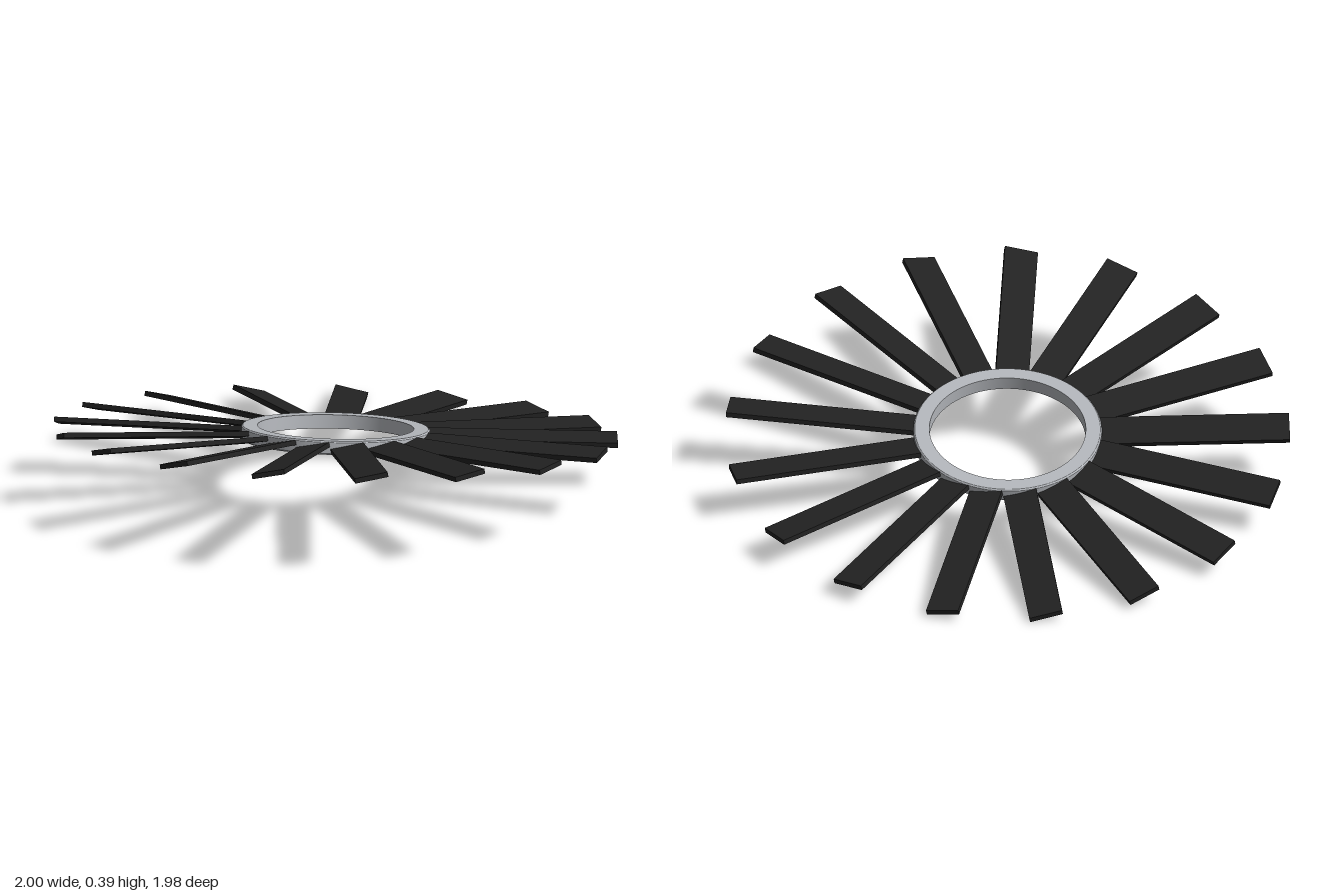
import * as THREE from 'three';

const BLADES = 17;
const TILT = THREE.MathUtils.degToRad(10);
const PITCH = THREE.MathUtils.degToRad(12);
const ROOT = 0.305, TIP = 1.003, WIDTH = 0.12, THICK = 0.018;
const INNER = 0.278, OUTER = 0.335, HALF = 0.025, BEVEL = 0.005;

function material(name, color) {
  const m = new THREE.MeshStandardMaterial({ color });
  m.name = name;
  return m;
}

// Closed rectangular hub section with small bevels; doubled points keep edges sharp
function hubGeometry() {
  const corners = [
    [INNER, -HALF], [OUTER - BEVEL, -HALF], [OUTER, -HALF + BEVEL],
    [OUTER, HALF - BEVEL], [OUTER - BEVEL, HALF], [INNER, HALF],
  ];
  const profile = [];
  corners.forEach((a, i) => {
    const b = corners[(i + 1) % corners.length];
    // Tiny inset so that each face of the section has its own normals
    const e = 0.0002;
    const p = new THREE.Vector2(...a), q = new THREE.Vector2(...b);
    const d = q.clone().sub(p).normalize().multiplyScalar(e);
    profile.push(p.clone().add(d), q.clone().sub(d));
  });
  profile.push(profile[0].clone());
  return new THREE.LatheGeometry(profile, 96);
}

export function createModel() {
  const black = material('blade black', 0x222222);
  const silver = material('hub silver', 0xb5b8bd);

  const model = new THREE.Group();
  model.name = 'bladedRing';

  // The whole wheel leans, front edge up
  const wheel = new THREE.Group();
  wheel.name = 'wheel';
  wheel.rotation.x = -TILT;
  model.add(wheel);

  const hub = new THREE.Mesh(hubGeometry(), silver);
  hub.name = 'hubRing';
  wheel.add(hub);

  // Flat blades, each twisted about its own length
  const bladeGeometry = new THREE.BoxGeometry(TIP - ROOT, THICK, WIDTH);
  bladeGeometry.translate((TIP + ROOT) / 2, 0, 0);
  for (let i = 0; i < BLADES; i++) {
    const arm = new THREE.Group();
    arm.name = `bladeArm${i + 1}`;
    arm.rotation.y = Math.PI + (i * Math.PI * 2) / BLADES;
    const blade = new THREE.Mesh(bladeGeometry, black);
    blade.name = `blade${i + 1}`;
    blade.rotation.x = PITCH;
    arm.add(blade);
    wheel.add(arm);
  }

  // Rest on the ground, centred
  model.updateMatrixWorld(true);
  const box = new THREE.Box3().setFromObject(model, true);
  const mid = box.getCenter(new THREE.Vector3());
  wheel.position.set(-mid.x, -box.min.y, -mid.z);
  return model;
}
